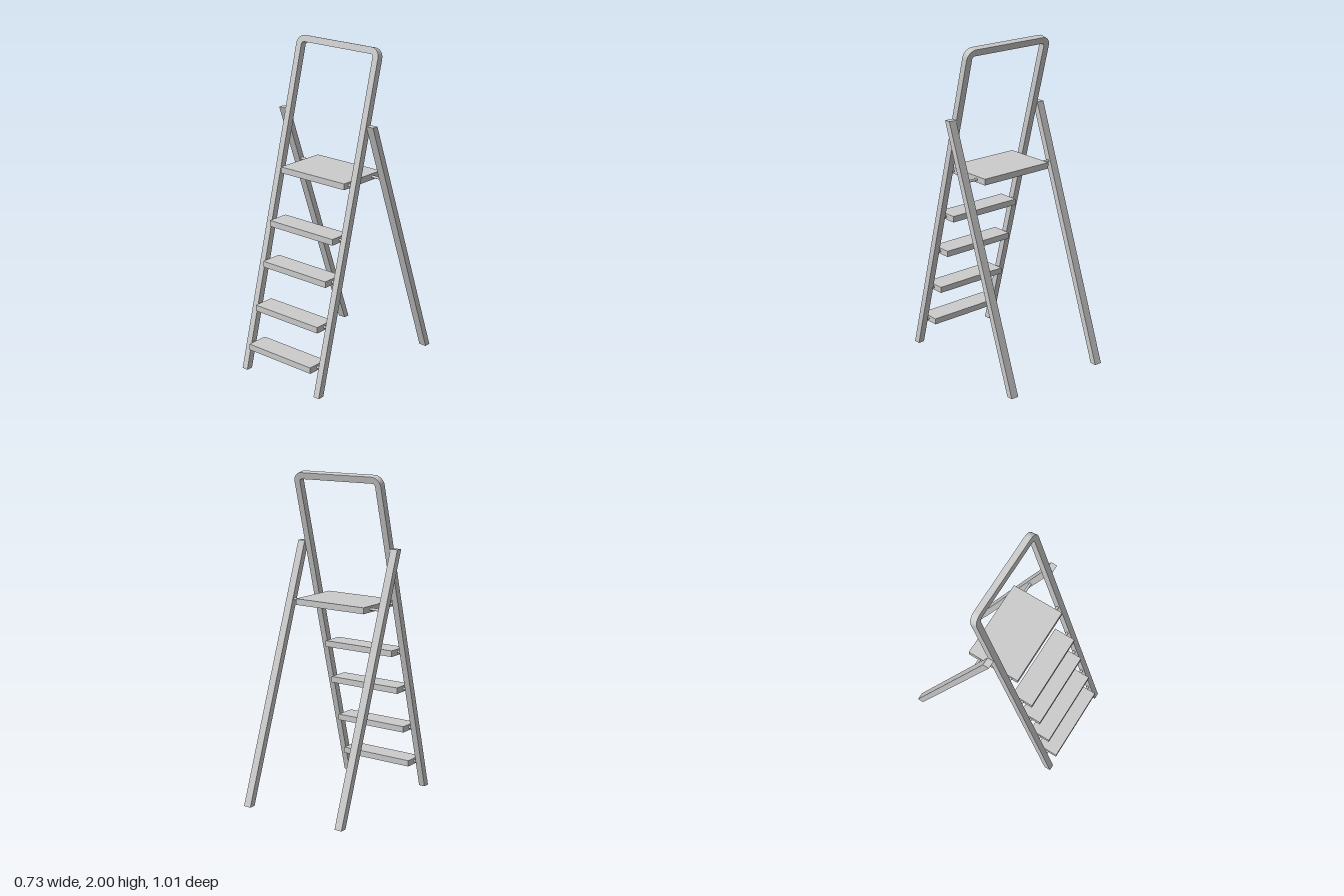
import * as THREE from 'three';

export function createModel() {
  const model = new THREE.Group();
  const material = new THREE.MeshStandardMaterial({ color: 0xcccccc, flatShading: true });
  const add = (name, geometry, x = 0, y = 0, z = 0) => {
    const mesh = new THREE.Mesh(geometry, material);
    mesh.name = name;
    mesh.position.set(x, y, z);
    model.add(mesh);
    return mesh;
  };

  // Front frame: one bent bar forming both rails and the top handle
  const tilt = 0.26, bar = 0.04, outer = 0.312, inner = outer - bar;
  const length = (2 - bar / 2 * Math.sin(tilt)) / Math.cos(tilt);
  const rOut = 0.058, rIn = 0.018;
  const s = new THREE.Shape();
  s.moveTo(-inner, 0);
  s.lineTo(-inner, length - bar - rIn);
  s.absarc(-inner + rIn, length - bar - rIn, rIn, Math.PI, Math.PI / 2, true);
  s.absarc(inner - rIn, length - bar - rIn, rIn, Math.PI / 2, 0, true);
  s.lineTo(inner, 0);
  s.lineTo(outer, 0);
  s.lineTo(outer, length - rOut);
  s.absarc(outer - rOut, length - rOut, rOut, 0, Math.PI / 2, false);
  s.absarc(-outer + rOut, length - rOut, rOut, Math.PI / 2, Math.PI, false);
  s.lineTo(-outer, 0);
  s.closePath();
  const frame = new THREE.ExtrudeGeometry(s, { depth: bar, bevelEnabled: false, curveSegments: 4 });
  frame.translate(0, 0, -bar / 2);
  // Feet are cut level with the floor
  const p = frame.attributes.position;
  for (let i = 0; i < p.count; i++) {
    if (p.getY(i) < 0.001) p.setY(i, -p.getZ(i) * Math.tan(tilt));
  }
  frame.rotateX(-tilt);
  frame.computeVertexNormals();
  add('frontFrame', frame, 0, 0, 0.484);

  // Back legs: slanted bars with level ends
  const legTop = 1.567, legBottom = 0.008;
  for (const side of [-1, 1]) {
    const leg = new THREE.BoxGeometry(0.049, legTop - legBottom, 0.04);
    const q = leg.attributes.position;
    for (let i = 0; i < q.count; i++) {
      q.setZ(i, q.getZ(i) + (q.getY(i) > 0 ? 0.068 : -0.486));
    }
    leg.computeVertexNormals();
    add(side > 0 ? 'leftBackLeg' : 'rightBackLeg', leg, side * 0.339, (legTop + legBottom) / 2, 0);
  }

  // Pins joining treads to rails and legs
  const addPins = (name, y, z, x0, x1) => {
    for (const side of [-1, 1]) {
      const pin = new THREE.CylinderGeometry(0.008, 0.008, x1 - x0, 12);
      pin.rotateZ(Math.PI / 2);
      add(name, pin, side * (x0 + x1) / 2, y, z);
    }
  };

  // Treads and top platform: [centre y, front z, back z]
  const treads = [
    [0.163, 0.506, 0.369], [0.4, 0.443, 0.307], [0.664, 0.37, 0.233],
    [0.908, 0.307, 0.17], [1.22, 0.205, -0.129],
  ];
  treads.forEach(([y, front, back], i) => {
    const name = i === 4 ? 'platform' : 'step';
    add(name, new THREE.BoxGeometry(0.496, 0.038, front - back), 0, y, (front + back) / 2);
    addPins(name + 'Pin', y, 0.484 - y * Math.tan(tilt), 0.24, 0.28);
  });
  addPins('platformLegPin', 1.22, -0.055, 0.24, 0.32);

  return model;
}
